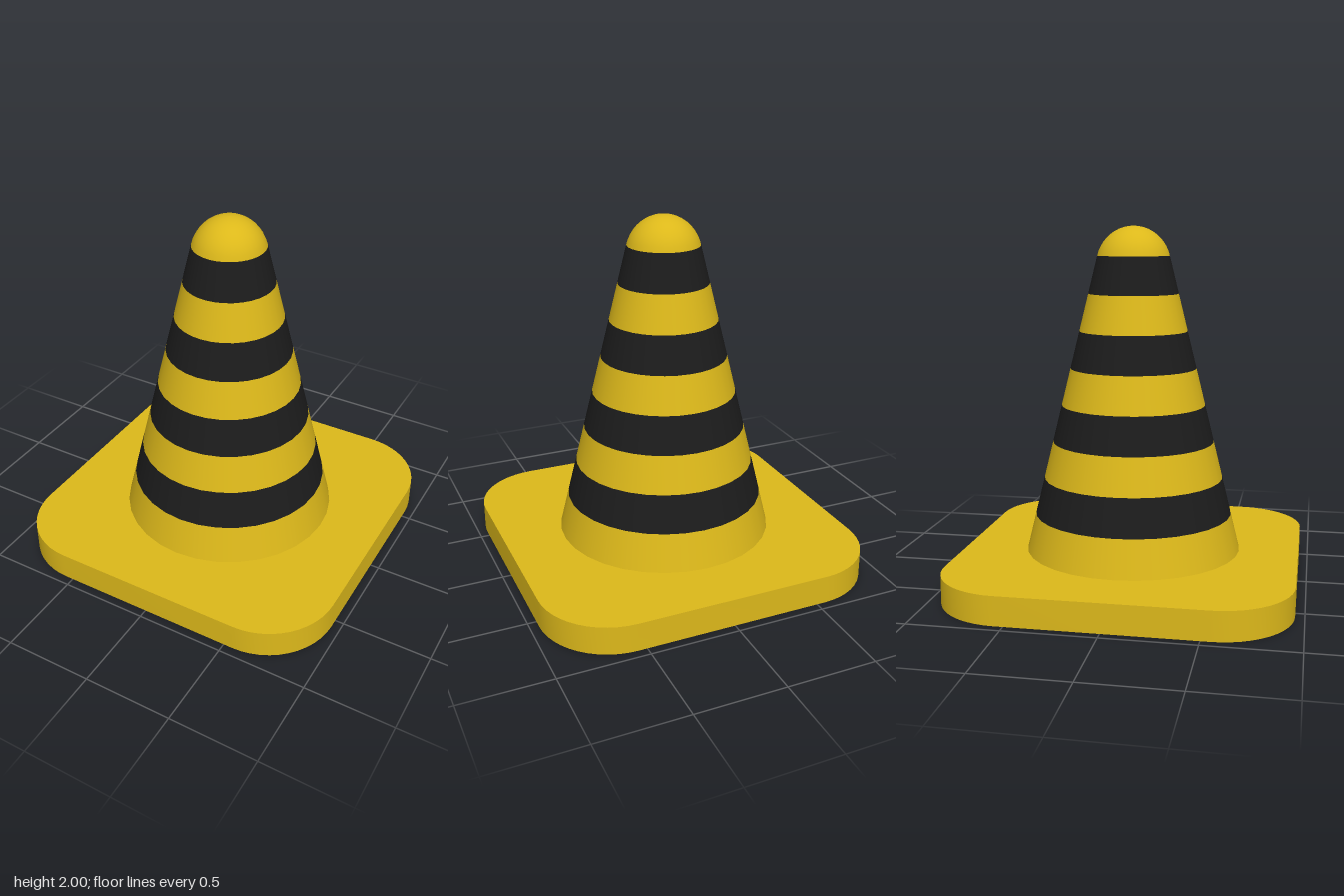
import * as THREE from 'three';
import { toCreasedNormals } from 'three/addons/utils/BufferGeometryUtils.js';

const SEGMENTS = 32;
const BASE_TOP = 0.16, CONE_TOP = 1.835, TOP = 2;
const R_BOTTOM = 0.614, R_TOP = 0.203;
const BANDS = 8;

export function createModel() {
  const group = new THREE.Group();
  const yellow = new THREE.MeshStandardMaterial({ color: 0xdcb81a });
  const black = new THREE.MeshStandardMaterial({ color: 0x1c1c1c });

  function add(name, geometry, material, y = 0) {
    const mesh = new THREE.Mesh(geometry, material);
    mesh.name = name;
    mesh.position.y = y;
    group.add(mesh);
  }

  // Square foot plate with large rounded corners
  const half = 0.95, corner = 0.4, c = half - corner;
  const outline = new THREE.Shape();
  [[c, c], [-c, c], [-c, -c], [c, -c]].forEach(([x, y], i) => {
    outline.absarc(x, y, corner, i * Math.PI / 2, (i + 1) * Math.PI / 2, false);
  });
  outline.closePath();
  const plate = new THREE.ExtrudeGeometry(outline, {
    depth: BASE_TOP, bevelEnabled: false, curveSegments: 6,
  });
  plate.rotateX(-Math.PI / 2);
  add('basePlate', toCreasedNormals(plate, 0.6), yellow);

  // Tapered body in alternating bands
  const bandHeight = (CONE_TOP - BASE_TOP) / BANDS;
  const radiusAt = (i) => THREE.MathUtils.lerp(R_BOTTOM, R_TOP, i / BANDS);
  for (let i = 0; i < BANDS; i++) {
    const band = new THREE.CylinderGeometry(radiusAt(i + 1), radiusAt(i), bandHeight, SEGMENTS, 1, true);
    const dark = i % 2 === 1;
    add(dark ? 'darkStripe' : 'bodyBand', band, dark ? black : yellow, BASE_TOP + (i + 0.5) * bandHeight);
  }

  // Rounded tip, continuing the slope of the body
  const start = Math.atan((R_BOTTOM - R_TOP) / (CONE_TOP - BASE_TOP));
  const radius = R_TOP / Math.cos(start);
  const rise = (TOP - CONE_TOP) / (1 - Math.sin(start));
  const profile = [];
  for (let i = 0; i <= 10; i++) {
    const a = THREE.MathUtils.lerp(start, Math.PI / 2, i / 10);
    profile.push(new THREE.Vector2(
      i === 10 ? 0 : radius * Math.cos(a),
      CONE_TOP + rise * (Math.sin(a) - Math.sin(start)),
    ));
  }
  add('roundedTip', new THREE.LatheGeometry(profile, SEGMENTS), yellow);

  return group;
}
